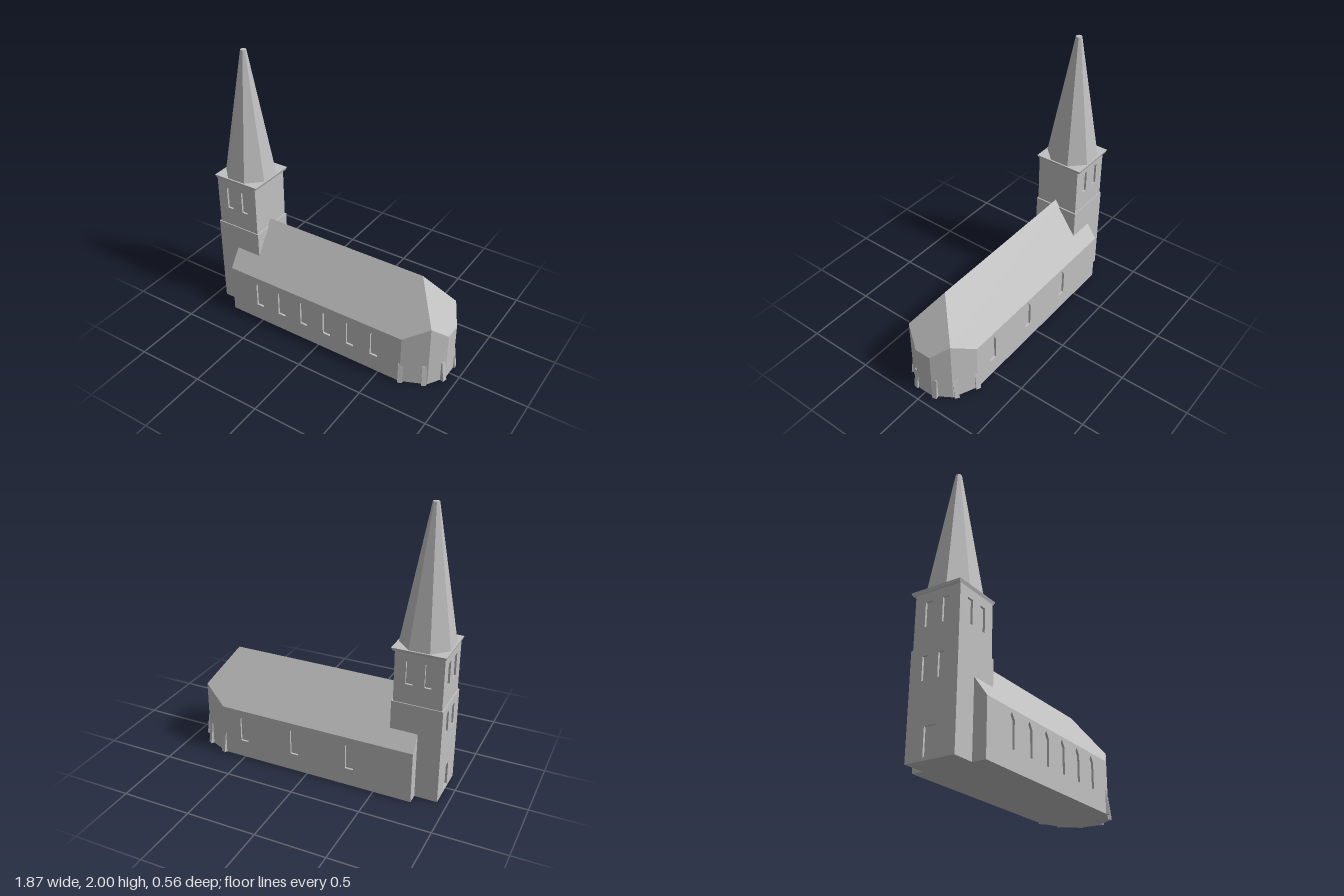
import * as THREE from 'three';

const stone = new THREE.MeshStandardMaterial({ color: 0xc0c0c0 });
stone.name = 'grey stone';

export function createModel() {
  const model = new THREE.Group();
  model.name = 'church';

  const add = (parent, name, geometry, x = 0, y = 0, z = 0, ry = 0) => {
    const mesh = new THREE.Mesh(geometry, stone);
    mesh.name = name;
    mesh.position.set(x, y, z);
    mesh.rotation.y = ry;
    parent.add(mesh);
    return mesh;
  };
  const group = (name) => {
    const g = new THREE.Group();
    g.name = name;
    model.add(g);
    return g;
  };
  // box given by its limits
  const block = (parent, name, x0, x1, y0, y1, z0, z1) =>
    add(parent, name, new THREE.BoxGeometry(x1 - x0, y1 - y0, z1 - z0),
      (x0 + x1) / 2, (y0 + y1) / 2, (z0 + z1) / 2);
  // flat convex polygons, corners counter-clockwise from outside
  const faces = (polygons) => {
    const p = [];
    for (const c of polygons)
      for (let i = 1; i < c.length - 1; i++) p.push(...c[0], ...c[i], ...c[i + 1]);
    const g = new THREE.BufferGeometry();
    g.setAttribute('position', new THREE.Float32BufferAttribute(p, 3));
    g.computeVertexNormals();
    return g;
  };
  const mirror = (polygon) => polygon.map(([x, y, z]) => [x, y, -z]).reverse();
  const outline = (points) => points.map(([x, y]) => new THREE.Vector2(x, y));

  // wall slab with openings, its outer face at local z = 0
  const D = 0.015;
  const wall = (x0, x1, y0, y1, openings) => {
    const shape = new THREE.Shape(outline([[x0, y0], [x1, y0], [x1, y1], [x0, y1]]));
    for (const o of openings) shape.holes.push(new THREE.Path(outline(o)));
    return new THREE.ExtrudeGeometry(shape, { depth: D, bevelEnabled: false }).translate(0, 0, -D);
  };
  const rect = (x, w, y0, y1) =>
    [[x - w / 2, y0], [x - w / 2, y1], [x + w / 2, y1], [x + w / 2, y0]];
  const lancet = (x) =>
    [[x - 0.03, 0.13], [x - 0.03, 0.31], [x, 0.355], [x + 0.03, 0.31], [x + 0.03, 0.13]];

  // nave
  const W = -0.77, E = 0.67, H = 0.257, eave = 0.375, ridge = 0.74, B = 0.4845;
  const nave = group('nave');
  block(nave, 'naveCore', W, E, 0, eave, -H + D, H - D);
  const southX = [0, 1, 2, 3, 4, 5].map((i) => -0.515 + i * 0.195);
  add(nave, 'frontWall', wall(W, E, 0, eave, southX.map(lancet)), 0, 0, H);
  add(nave, 'backWall', wall(-E, -W, 0, eave, [-0.5, -0.1, 0.32].map(lancet)), 0, 0, -H, Math.PI);
  add(nave, 'westGable', faces([[
    [W, 0, -H], [W, 0, H], [W, eave, H], [W, ridge, 0], [W, eave, -H]]]));

  // roof with a hipped end
  const slope = [[W, eave, H], [E, eave, H], [0.845, B, 0.18], [E, ridge, 0], [W, ridge, 0]];
  const hip = [[E, ridge, 0], [0.845, B, 0.18], [0.92, eave, 0.06],
    [0.92, eave, -0.06], [0.845, B, -0.18]];
  add(nave, 'roof', faces([slope, mirror(slope), hip]));

  // faceted apse
  const apse = group('apse');
  const plan = [[E, H, eave], [0.845, 0.18, B], [0.92, 0.06, eave],
    [0.92, -0.06, eave], [0.845, -0.18, B], [E, -H, eave]];
  const apseWalls = [];
  for (let i = 0; i < 5; i++) {
    const [ax, az, ah] = plan[i], [bx, bz, bh] = plan[i + 1];
    apseWalls.push([[ax, 0, az], [bx, 0, bz], [bx, bh, bz], [ax, ah, az]]);
  }
  add(apse, 'apseWalls', faces(apseWalls));
  add(apse, 'apseFloor', faces([plan.map(([x, z]) => [x, 0, z]).reverse()]));

  // small tapering buttresses at the apse corners
  const wedge = new THREE.ExtrudeGeometry(
    new THREE.Shape(outline([[-0.03, 0], [0.015, 0], [-0.004, 0.16], [-0.03, 0.16]])),
    { depth: 0.035, bevelEnabled: false }).translate(0, 0, -0.0175);
  for (const s of [1, -1])
    for (const [x, z, dx, dz] of [[0.675, 0.257, 0.4, 0.9], [0.825, 0.195, 0.55, 0.84],
      [0.915, 0.08, 0.97, 0.22]])
      add(apse, 'buttress', wedge, x, 0, s * z, Math.atan2(-s * dz, dx));

  // tower, lower stage
  const tower = group('tower');
  block(tower, 'lowerStage', -0.93 + D, -0.577, 0, 0.69, -0.18, 0.164);
  add(tower, 'lowerWestWall', wall(-0.18, 0.164, 0, 0.69, [
    rect(-0.015, 0.08, 0.02, 0.2), rect(-0.07, 0.045, 0.48, 0.635), rect(0.045, 0.045, 0.48, 0.635),
  ]), -0.93, 0, 0, -Math.PI / 2);

  // tower, belfry stage
  const y0 = 0.69, y1 = 1.06, x0 = -0.921, x1 = -0.587, z0 = -0.174, z1 = 0.157;
  block(tower, 'belfryCore', x0 + D, x1, y0, y1, z0 + D, z1 - D);
  const pair = (a, b) => [rect(a, 0.048, 0.83, 0.995), rect(b, 0.048, 0.83, 0.995)];
  add(tower, 'belfryFrontWall', wall(x0, x1, y0, y1, pair(-0.818, -0.69)), 0, 0, z1);
  add(tower, 'belfryBackWall', wall(-x1, -x0, y0, y1, pair(0.69, 0.818)), 0, 0, z0, Math.PI);
  add(tower, 'belfryWestWall', wall(z0, z1, y0, y1, pair(-0.073, 0.055)), x0, 0, 0, -Math.PI / 2);

  // cornice and eight-sided spire
  const prism = (top, bottom, height, sides) => {
    const k = 1 / Math.cos(Math.PI / sides);
    const g = new THREE.CylinderGeometry(top * k, bottom * k, height, sides)
      .rotateY(Math.PI / sides).toNonIndexed();
    g.computeVertexNormals();
    return g;
  };
  add(tower, 'cornice', prism(0.183, 0.175, 0.022, 4), -0.753, 1.069, -0.018);
  add(tower, 'spire', prism(0.02, 0.172, 0.92, 8), -0.753, 1.54, -0.018);

  return model;
}
